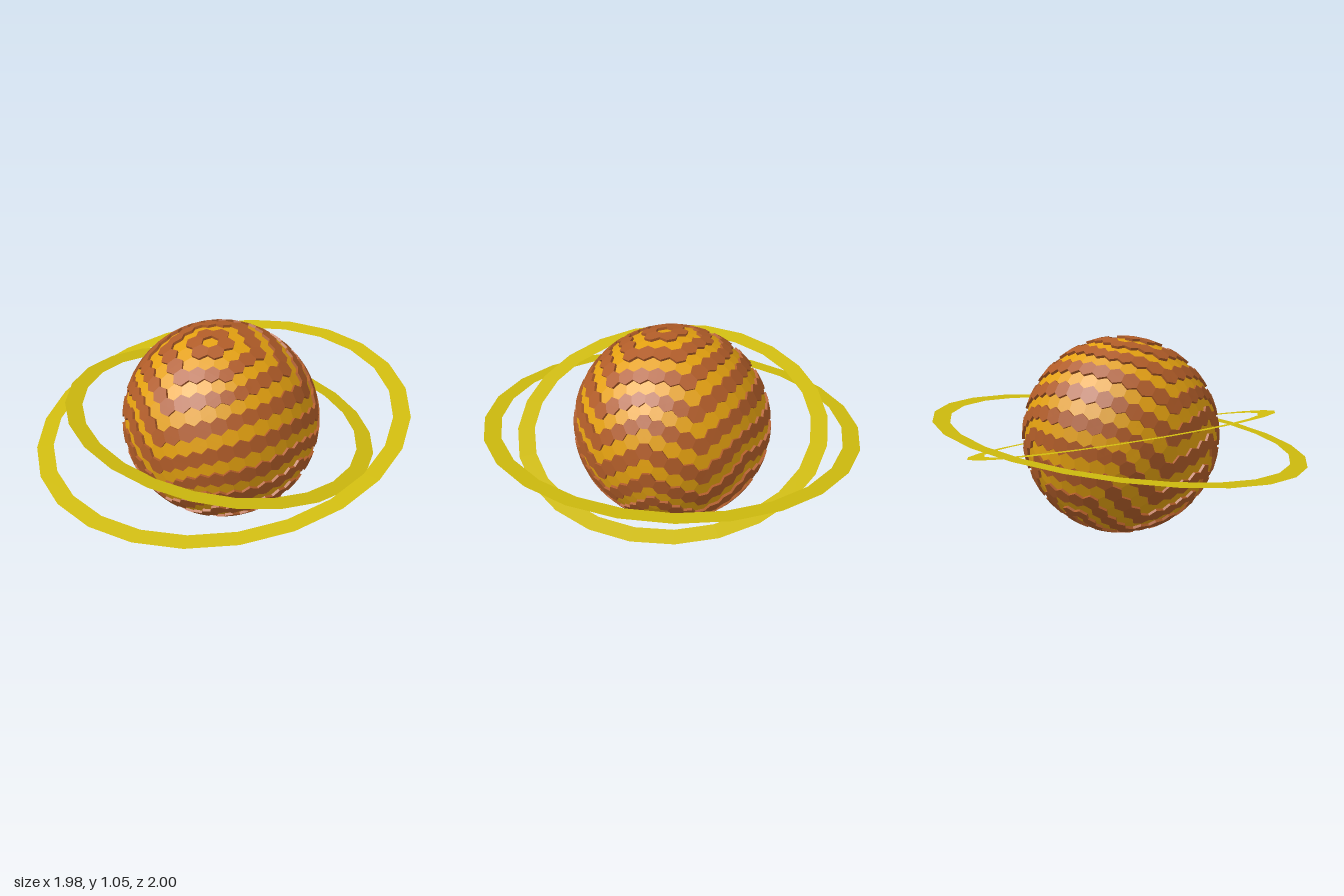
import * as THREE from 'three';
import { mergeVertices } from 'three/addons/utils/BufferGeometryUtils.js';

const CENTER_Y = 0.527;
const ochre = new THREE.MeshStandardMaterial({ color: 0xe3a010 });
ochre.name = 'ochre';
const rust = new THREE.MeshStandardMaterial({ color: 0xb05c28 });
rust.name = 'rust';
const ringGold = new THREE.MeshStandardMaterial({ color: 0xcfbb0e, side: THREE.DoubleSide });
ringGold.name = 'ring gold';

// Hexagonal tiling of a sphere: one tile around each vertex of a subdivided icosahedron
function makeTiles() {
  const ico = new THREE.IcosahedronGeometry(1, 7);
  ico.deleteAttribute('uv');
  ico.deleteAttribute('normal');
  const geo = mergeVertices(ico, 1e-4);
  const pos = geo.attributes.position;
  const tiles = [];
  for (let i = 0; i < pos.count; i++) {
    tiles.push({
      dir: new THREE.Vector3().fromBufferAttribute(pos, i).normalize(),
      corners: [], near: new Set(), band: -1,
    });
  }
  const idx = geo.index.array;
  for (let f = 0; f < idx.length; f += 3) {
    const tri = [tiles[idx[f]], tiles[idx[f + 1]], tiles[idx[f + 2]]];
    const mid = new THREE.Vector3();
    tri.forEach((t) => mid.add(t.dir));
    mid.normalize();
    tri.forEach((t) => {
      t.corners.push(mid);
      tri.forEach((o) => { if (o !== t) t.near.add(o); });
    });
  }
  // Sort the corners counter-clockwise seen from outside
  for (const t of tiles) {
    const u = t.corners[0].clone().addScaledVector(t.dir, -t.corners[0].dot(t.dir)).normalize();
    const v = t.dir.clone().cross(u);
    const angle = (c) => Math.atan2(c.dot(v), c.dot(u));
    t.corners.sort((a, b) => angle(a) - angle(b));
  }
  // Number the bands by steps from the pole tile
  let front = [tiles.reduce((a, b) => (b.dir.y > a.dir.y ? b : a))];
  front[0].band = 0;
  for (let band = 1; front.length; band++) {
    const next = [];
    for (const t of front) {
      for (const o of t.near) {
        if (o.band < 0) { o.band = band; next.push(o); }
      }
    }
    front = next;
  }
  return tiles;
}

// Tile tops at one radius, with side walls reaching down to the base radius
function tileGeometry(tiles, radius, base) {
  const out = [];
  const put = (...pts) => pts.forEach((p) => out.push(p.x, p.y, p.z));
  for (const t of tiles) {
    const top = t.corners.map((c) => c.clone().multiplyScalar(radius));
    const low = t.corners.map((c) => c.clone().multiplyScalar(base));
    const mid = new THREE.Vector3();
    top.forEach((p) => mid.addScaledVector(p, 1 / top.length));
    for (let i = 0; i < top.length; i++) {
      const j = (i + 1) % top.length;
      put(mid, top[i], top[j]);
      put(low[i], low[j], top[j]);
      put(low[i], top[j], top[i]);
    }
  }
  const geo = new THREE.BufferGeometry();
  geo.setAttribute('position', new THREE.Float32BufferAttribute(out, 3));
  geo.computeVertexNormals();
  return geo;
}

function makeRing(name, inner, outer, tilt) {
  const geo = new THREE.RingGeometry(inner, outer, 24).rotateX(-Math.PI / 2);
  const ring = new THREE.Mesh(geo, ringGold);
  ring.name = name;
  ring.position.y = CENTER_Y;
  ring.rotation.z = THREE.MathUtils.degToRad(tilt);
  return ring;
}

export function createModel() {
  const model = new THREE.Group();
  model.name = 'ringedPlanet';

  // Planet of alternating tile bands, leaning slightly
  const planet = new THREE.Group();
  planet.name = 'planet';
  const tiles = makeTiles();
  const bands = [
    ['lowBands', 0, 0.513, ochre],
    ['raisedBands', 1, 0.527, rust],
  ];
  for (const [name, parity, radius, material] of bands) {
    const geo = tileGeometry(tiles.filter((t) => t.band % 2 === parity), radius, 0.5);
    geo.rotateY(Math.PI / 2);
    const mesh = new THREE.Mesh(geo, material);
    mesh.name = name;
    planet.add(mesh);
  }
  planet.position.y = CENTER_Y;
  planet.quaternion.setFromUnitVectors(
    new THREE.Vector3(0, 1, 0),
    new THREE.Vector3(-0.155, 0.98, 0.12).normalize(),
  );
  model.add(planet);

  // Two flat rings tilted opposite ways
  model.add(makeRing('outerRing', 0.91, 1.0, 8.2));
  model.add(makeRing('innerRing', 0.74, 0.83, -10));
  return model;
}
